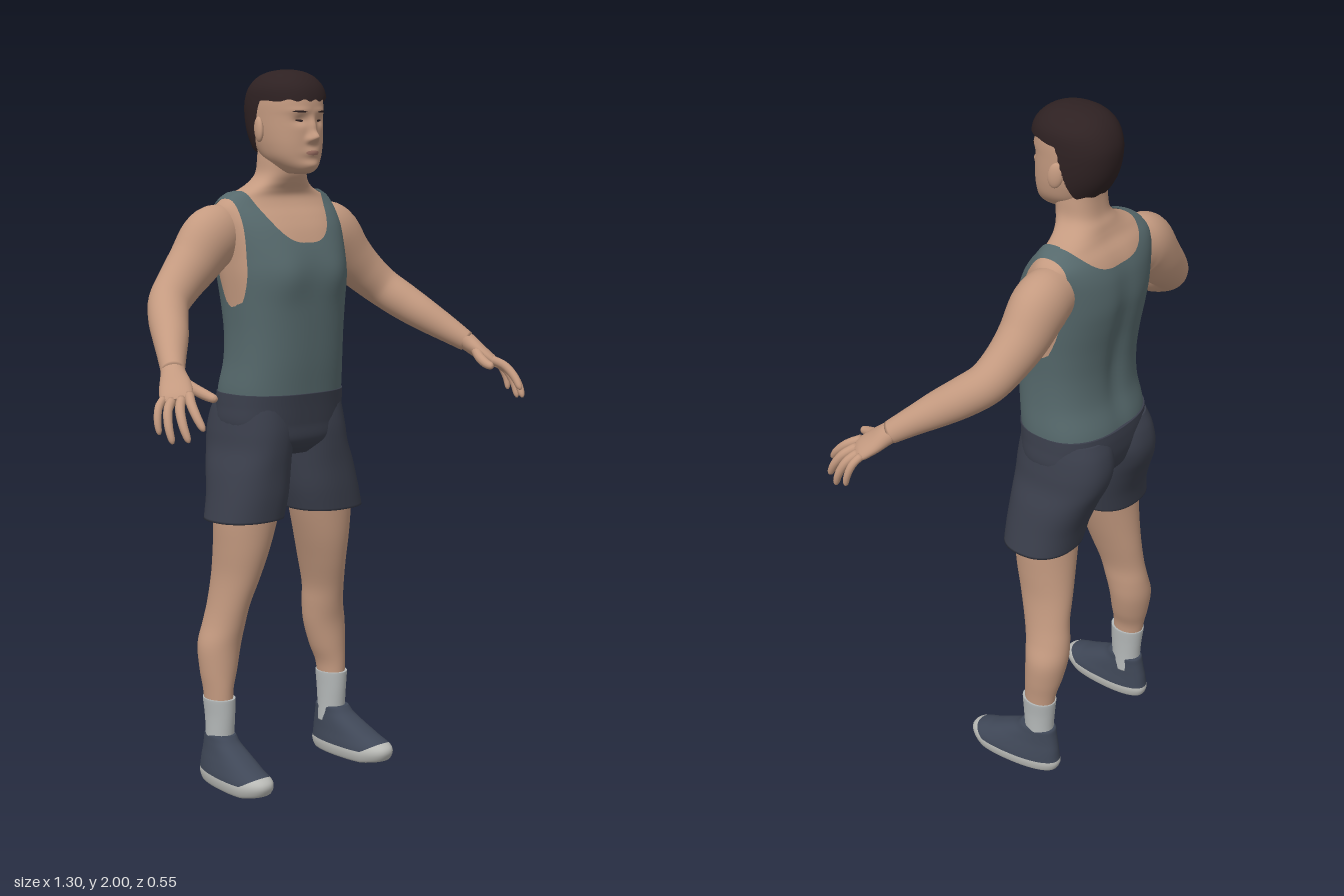
import * as THREE from 'three';

const mat = (name, color, side = THREE.FrontSide) => {
  const m = new THREE.MeshStandardMaterial({ color, side });
  m.name = name;
  return m;
};

// Smooth interpolation through rows of numbers, t in 0..1
function sample(rows, t) {
  const f = t * (rows.length - 1), i = Math.min(Math.floor(f), rows.length - 2), k = f - i;
  const at = (j) => rows[Math.max(0, Math.min(rows.length - 1, j))];
  const [a, b, c, d] = [at(i - 1), at(i), at(i + 1), at(i + 2)];
  return b.map((p, n) => p + 0.5 * k * (c[n] - a[n]
    + k * (2 * a[n] - 5 * p + 4 * c[n] - d[n] + k * (3 * (p - c[n]) + d[n] - a[n]))));
}

// Closed surface from rings: point(t, angle) -> [x, y, z], capped at both ends
function rings(point, nu, nv) {
  const pos = [], idx = [];
  for (let i = 0; i <= nu; i++)
    for (let j = 0; j < nv; j++) pos.push(...point(i / nu, (j / nv) * Math.PI * 2));
  for (let i = 0; i < nu; i++)
    for (let j = 0; j < nv; j++) {
      const a = i * nv + j, b = i * nv + ((j + 1) % nv), c = a + nv, d = b + nv;
      idx.push(a, c, b, b, c, d);
    }
  for (const row of [0, nu]) {
    const mid = [0, 0, 0], n = pos.length / 3;
    for (let j = 0; j < nv; j++) for (let k = 0; k < 3; k++) mid[k] += pos[(row * nv + j) * 3 + k] / nv;
    pos.push(...mid);
    for (let j = 0; j < nv; j++) {
      const a = row * nv + j, b = row * nv + ((j + 1) % nv);
      idx.push(n, ...(row ? [b, a] : [a, b]));
    }
  }
  const g = new THREE.BufferGeometry();
  g.setAttribute('position', new THREE.Float32BufferAttribute(pos, 3));
  g.setIndex(idx);
  return g;
}

// Level sections [y, centreX, halfWidth, zFront, zBack], n = squareness, bend = vertex rule
function loft(sections, n = 2.2, nu = 40, nv = 48, bend = (p) => p) {
  const sp = (v) => Math.sign(v) * Math.abs(v) ** (2 / n);
  const g = rings((t, a) => {
    const [y, cx, w, zf, zb] = sample(sections, t);
    return bend([cx + w * sp(Math.cos(a)), y, (zf + zb) / 2 + ((zf - zb) / 2) * sp(Math.sin(a))]);
  }, nu, nv);
  g.computeVertexNormals();
  return g.toNonIndexed();
}

// Limb along nodes [x, y, z, radius along wide axis, other radius]
function limb(nodes, wide, nu = 30, nv = 28) {
  const g = rings((t, a) => {
    const s = sample(nodes, t), p = new THREE.Vector3(...s);
    const T = new THREE.Vector3(...sample(nodes, Math.min(1, t + 0.01)))
      .sub(new THREE.Vector3(...sample(nodes, Math.max(0, t - 0.01)))).normalize();
    const N = wide.clone().addScaledVector(T, -wide.dot(T)).normalize();
    const B = N.clone().cross(T);
    return p.addScaledVector(N, s[3] * Math.cos(a)).addScaledVector(B, s[4] * Math.sin(a)).toArray();
  }, nu, nv);
  g.computeVertexNormals();
  return g.toNonIndexed();
}

// Keep the part where f > 0, raised along the normals by push (thinner at its edge)
function cut(g, f, push = 0, taper = 0.015) {
  const P = g.attributes.position.array, N = g.attributes.normal.array, pos = [], nor = [];
  for (let i = 0; i < P.length; i += 9) {
    const tri = [0, 3, 6].map((o) => [...P.slice(i + o, i + o + 3), ...N.slice(i + o, i + o + 3)]);
    const v = tri.map((p) => f(p[0], p[1], p[2])), poly = [];
    for (let k = 0; k < 3; k++) {
      const m = (k + 1) % 3;
      if (v[k] > 0) poly.push([...tri[k], v[k]]);
      if (v[k] > 0 !== v[m] > 0) {
        const s = v[k] / (v[k] - v[m]);
        poly.push([...tri[k].map((q, n) => q + s * (tri[m][n] - q)), 0]);
      }
    }
    for (let k = 1; k + 1 < poly.length; k++)
      for (const q of [poly[0], poly[k], poly[k + 1]]) {
        const h = push * Math.min(1, 0.25 + Math.max(0, q[6]) / taper);
        pos.push(q[0] + q[3] * h, q[1] + q[4] * h, q[2] + q[5] * h);
        nor.push(q[3], q[4], q[5]);
      }
  }
  const out = new THREE.BufferGeometry();
  out.setAttribute('position', new THREE.Float32BufferAttribute(pos, 3));
  out.setAttribute('normal', new THREE.Float32BufferAttribute(nor, 3));
  return out;
}

// Mirror in x, keeping faces outward
function mirror(g) {
  const m = g.clone();
  for (const key of ['position', 'normal']) {
    const a = m.attributes[key].array;
    for (let i = 0; i < a.length; i += 9) {
      const s = a.slice(i, i + 9);
      [0, 6, 3].forEach((o, k) => a.set([-s[o], s[o + 1], s[o + 2]], i + k * 3));
    }
  }
  return m;
}

export function createModel() {
  const root = new THREE.Group();
  root.name = 'standingMan';
  const skin = mat('skin', 0xc49a80), hair = mat('hair', 0x2e2122, THREE.DoubleSide);
  const lips = mat('lips', 0xa8786a), shirt = mat('shirt', 0x56696c, THREE.DoubleSide);
  const cloth = mat('shorts', 0x3a3e4b), sockMat = mat('sock', 0xb4b8b8);
  const shoeMat = mat('shoe', 0x3f4757), soleMat = mat('sole', 0xb9bab6);
  const add = (name, g, m) => {
    const mesh = new THREE.Mesh(g, m);
    mesh.name = name;
    root.add(mesh);
  };
  const pair = (name, g, m) => {
    add(name + 'Left', g, m);
    add(name + 'Right', mirror(g), m);
  };
  const bell = (v, c, s) => Math.exp(-(((v - c) / s) ** 2));

  // Torso and neck, with chest muscles and a spine groove
  const torso = loft([
    [1.05, 0, .172, .01, -.25], [1.12, 0, .176, .016, -.245], [1.2, 0, .17, .023, -.224],
    [1.28, 0, .17, .027, -.22], [1.36, 0, .176, .03, -.228], [1.44, 0, .184, .032, -.242],
    [1.5, 0, .188, .02, -.249], [1.56, 0, .195, -.005, -.245], [1.6, 0, .2, -.032, -.235],
    [1.63, 0, .195, -.057, -.22], [1.655, 0, .165, -.07, -.2], [1.675, 0, .12, -.066, -.19],
    [1.695, 0, .088, -.056, -.182], [1.72, 0, .071, -.047, -.17], [1.76, 0, .067, -.045, -.165],
    [1.8, 0, .064, -.05, -.165],
  ], 2.45, 80, 96, ([x, y, z]) => [x, y, z
    + (z > -.1 ? .008 * bell(Math.abs(x), .085, .05) * bell(y, 1.44, .06) : 0)
    + (z < -.15 ? .014 * bell(x, 0, .035) * bell(y, 1.35, .2) : 0)]);
  add('torso', torso, skin);

  // Tank top: neckline, armholes and hem cut from the torso surface
  add('tankTop', cut(torso, (x, y, z) => {
    const w = Math.abs(x), r = (w / .132) ** 3;
    const neck = (z > -.14 ? 1.53 + .13 * r : 1.6 + .06 * r) - y;
    const hole = 0.1 * (((z + .11) / .112) ** 2 + ((y - 1.54) / .185) ** 2 - 1);
    return Math.min(neck, Math.max(hole, .174 - w), y - 1.1);
  }, .007), shirt);

  // Shorts
  add('shortsWaist', loft([
    [.94, 0, .09, -.03, -.2], [.98, 0, .17, .008, -.235], [1.03, 0, .19, .014, -.252],
    [1.08, 0, .187, .02, -.257], [1.115, 0, .184, .025, -.256],
  ], 2.5), cloth);
  pair('shortsLeg', loft([
    [.765, .148, .112, .005, -.2], [.83, .132, .112, .008, -.212], [.9, .118, .108, .008, -.238],
    [.96, .104, .1, .01, -.264], [1.01, .095, .1, .01, -.272], [1.06, .09, .095, .005, -.264],
    [1.1, .085, .09, 0, -.245],
  ], 2.3), cloth);

  // Legs and socks
  pair('leg', loft([
    [.2, .213, .036, -.088, -.176], [.27, .214, .039, -.088, -.185], [.33, .207, .052, -.088, -.2],
    [.4, .199, .061, -.086, -.212], [.46, .187, .056, -.075, -.21], [.52, .178, .053, -.06, -.203],
    [.6, .162, .061, -.037, -.2], [.68, .15, .076, -.02, -.195], [.77, .138, .093, -.012, -.19],
    [.85, .125, .1, -.01, -.19],
  ], 2), skin);
  pair('sock', loft([
    [.1, .213, .039, -.09, -.176], [.15, .213, .038, -.086, -.176], [.2, .213, .039, -.082, -.18],
    [.245, .214, .042, -.08, -.185], [.25, .214, .041, -.081, -.184],
  ], 2), sockMat);

  // Shoes: one shape split into sole with toe cap, and upper
  const shoe = loft([
    [.005, .218, .045, .075, -.185], [.01, .218, .056, .09, -.195], [.03, .218, .062, .1, -.203],
    [.05, .218, .061, .09, -.2], [.075, .217, .055, .05, -.197], [.1, .215, .049, 0, -.192],
    [.125, .214, .044, -.05, -.187], [.142, .213, .042, -.07, -.184], [.147, .213, .039, -.075, -.18],
  ], 2.3, 50, 56, ([x, y, z]) => {
    const s = Math.min(1, Math.max(0, (z + .2) / .25));
    return [.213 + .014 * s + (x - .216) * (.84 + .17 * s), y + .012 * Math.max(0, (z - .03) / .07), z];
  });
  const soleEdge = (x, y, z) => .042 + .6 * Math.max(0, z - .035) - y;
  pair('shoeSole', cut(shoe, soleEdge), soleMat);
  pair('shoeUpper', cut(shoe, (x, y, z) => -soleEdge(x, y, z)), shoeMat);

  // Arms
  pair('arm', limb([
    [.13, 1.56, -.15, .055, .06], [.175, 1.558, -.148, .066, .078], [.225, 1.54, -.146, .072, .086],
    [.285, 1.478, -.143, .066, .074], [.34, 1.428, -.133, .059, .064], [.392, 1.382, -.112, .055, .057],
    [.43, 1.342, -.066, .053, .054], [.465, 1.303, -.012, .048, .048], [.505, 1.262, .045, .038, .039],
    [.54, 1.225, .095, .031, .029],
  ], new THREE.Vector3(0, 0, 1), 50, 36), skin);

  // Hands: palm, four fingers and thumb
  const across = new THREE.Vector3(-.05, .01, .05).normalize();
  pair('palm', limb([
    [.525, 1.242, .075, .03, .028], [.543, 1.222, .1, .033, .026], [.56, 1.196, .13, .042, .022],
    [.578, 1.172, .158, .043, .018], [.587, 1.16, .17, .036, .013],
  ], across), skin);
  const finger = (name, a, b, lift, r) => {
    const A = new THREE.Vector3(...a), B = new THREE.Vector3(...b);
    const nodes = [[0, 1], [.35, 1], [.7, .92], [.93, .72], [1, .25]].map(([t, k]) => {
      const p = A.clone().lerp(B, t);
      return [p.x + lift * t * (1 - t), p.y + lift * t * (1 - t), p.z, r * k, r * k];
    });
    pair(name, limb(nodes, across, 14, 12), skin);
  };
  finger('indexFinger', [.556, 1.178, .183], [.58, 1.098, .272], .05, .0125);
  finger('middleFinger', [.577, 1.168, .178], [.612, 1.07, .252], .06, .0125);
  finger('ringFinger', [.594, 1.165, .16], [.632, 1.064, .212], .06, .012);
  finger('littleFinger', [.604, 1.168, .14], [.64, 1.083, .168], .05, .0105);
  finger('thumb', [.543, 1.21, .125], [.507, 1.166, .23], -.03, .0145);

  // Head with brow, eye sockets, nose, mouth and chin shaped in
  const head = loft([
    [1.718, 0, .022, -.005, -.07], [1.725, 0, .038, .012, -.09], [1.742, 0, .058, .02, -.12],
    [1.765, 0, .074, .022, -.15], [1.795, 0, .083, .024, -.172], [1.83, 0, .088, .024, -.19],
    [1.87, 0, .09, .023, -.2], [1.91, 0, .09, .024, -.201], [1.945, 0, .085, .015, -.188],
    [1.97, 0, .067, -.007, -.165], [1.984, 0, .043, -.035, -.134], [1.99, 0, .014, -.065, -.1],
  ], 2.2, 100, 120, ([x, y, z]) => {
    const w = Math.abs(x);
    return z < -.05 ? [x, y, z] : [x, y, z
      + .025 * bell(x, 0, .012) * bell(y, 1.817, .014) + .012 * bell(x, 0, .011) * bell(y, 1.845, .022)
      + .009 * bell(w, .015, .008) * bell(y, 1.811, .009) - .009 * bell(w, .035, .018) * bell(y, 1.862, .012)
      + .007 * bell(x, 0, .026) * bell(y, 1.776, .013) + .008 * bell(x, 0, .03) * bell(y, 1.74, .014)
      + .004 * bell(w, .038, .03) * bell(y, 1.888, .009)];
  });
  add('head', head, skin);

  // Hair: straight brow line, dropping behind the ears to the nape
  add('hair', cut(head, (x, y, z) => {
    const s = THREE.MathUtils.smoothstep(z, -.135, -.085);
    return y - 1.775 - .14 * s - .003 * Math.sin(x * 180);
  }, .01), hair);

  // Painted face details
  const spot = (cx, cy, rx, ry, tilt = 0) => (x, y, z) => z < -.04 ? -1
    : 1 - ((Math.abs(x) - cx) / rx) ** 2 - ((y - cy - tilt * (Math.abs(x) - cx)) / ry) ** 2;
  add('eyes', cut(head, spot(.035, 1.862, .013, .0036, .1), .0015), hair);
  add('eyebrows', cut(head, spot(.038, 1.886, .02, .0035, .05), .002), hair);
  add('mouth', cut(head, spot(0, 1.775, .023, .0065), .0015), lips);

  // Ears
  const ear = new THREE.SphereGeometry(1, 20, 14).toNonIndexed();
  ear.scale(.011, .035, .021).rotateX(-.15).rotateY(.3).translate(.093, 1.838, -.092);
  pair('ear', ear, skin);

  return root;
}
